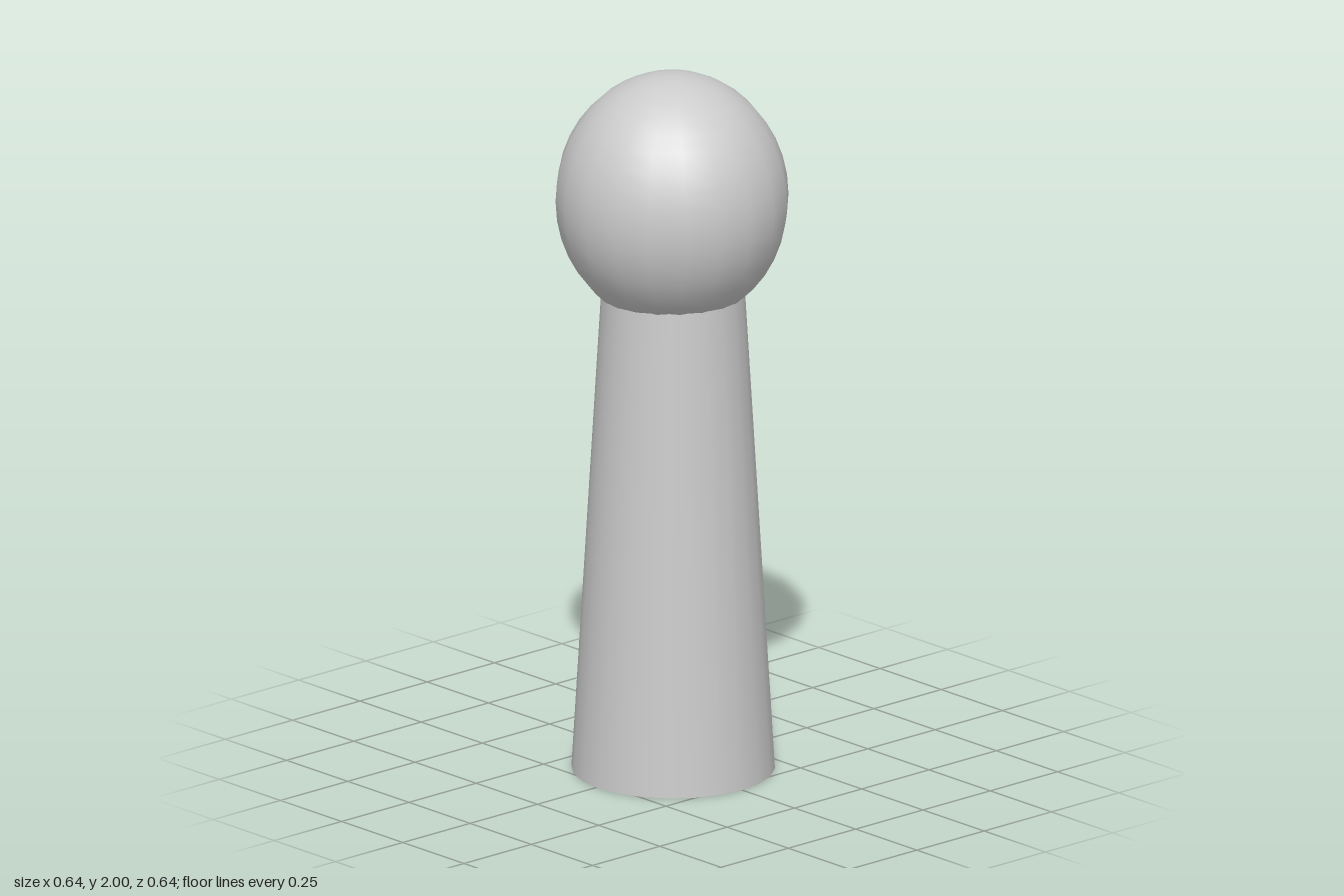
import * as THREE from 'three';

export function createModel() {
  const model = new THREE.Group();
  const material = new THREE.MeshStandardMaterial({ color: 0xcccccc });

  // Tapered column, its top hidden inside the head
  const height = 1.46;
  const column = new THREE.Mesh(new THREE.CylinderGeometry(0.193, 0.28, height, 24), material);
  column.name = 'column';
  column.position.set(0.007, height / 2, 0.002);
  model.add(column);

  // Slightly tall ball head
  const headGeometry = new THREE.SphereGeometry(1, 20, 20).scale(0.322, 0.355, 0.322);
  const head = new THREE.Mesh(headGeometry, material);
  head.name = 'head';
  head.position.y = 2 - 0.355;
  model.add(head);

  return model;
}
